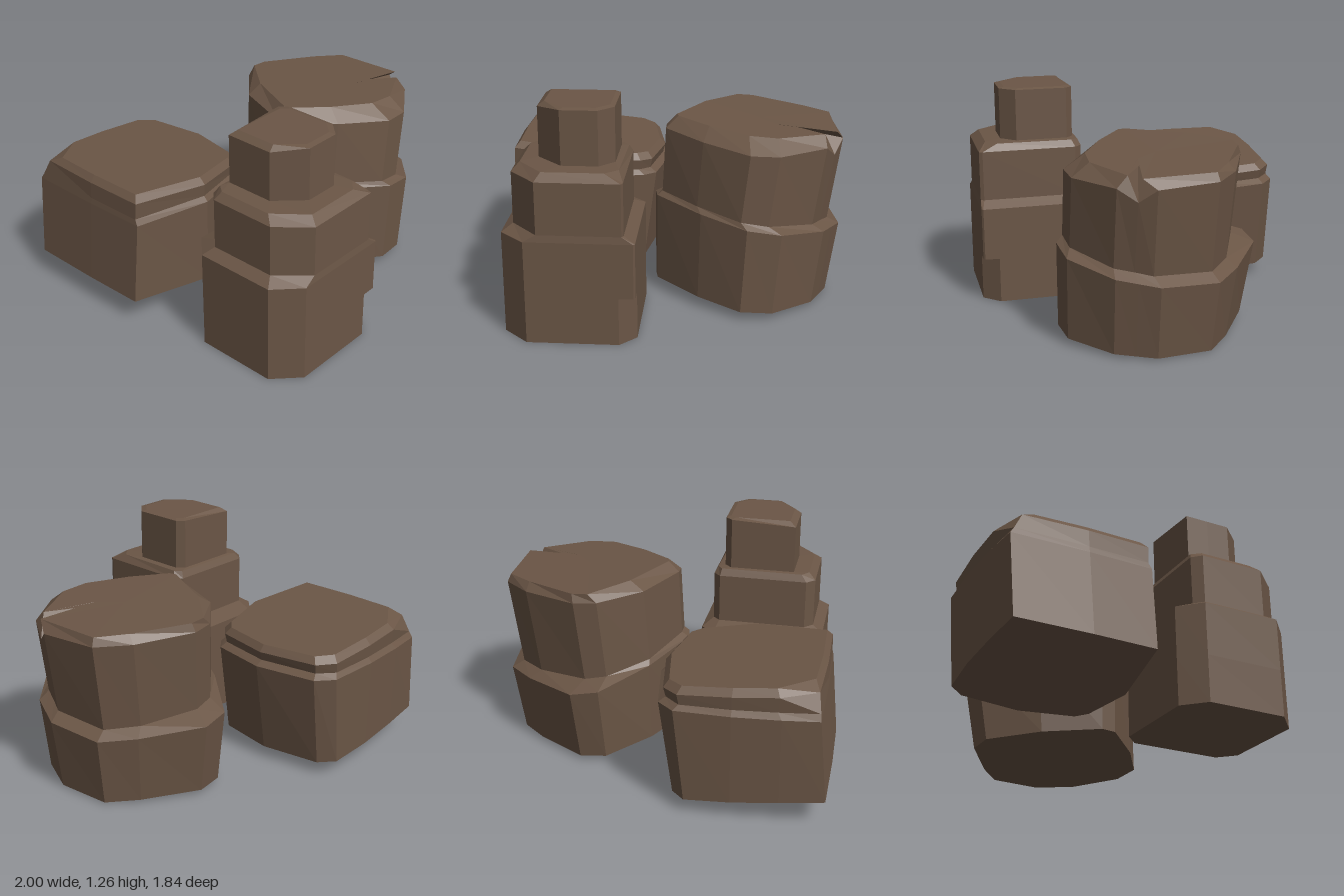
import * as THREE from 'three';

// Loft through rings of [x, z] corners (clockwise seen from above), closed top and bottom.
// Each ring is { p: corners, y: height or (x, z, index) => height }.
function loftRock(rings, material, name) {
  const pts = rings.map(({ p, y }) => p.map(([x, z], i) =>
    new THREE.Vector3(x, typeof y === 'function' ? y(x, z, i) : y, z)));
  const n = pts[0].length;
  const out = [];
  const tri = (...v) => v.forEach((q) => out.push(q.x, q.y, q.z));
  const centre = (ring) => ring.reduce((s, q) => s.add(q), new THREE.Vector3()).divideScalar(n);
  const low = pts[0], high = pts[pts.length - 1];
  const lowMid = centre(low), highMid = centre(high);
  for (let i = 0; i < n; i++) {
    const j = (i + 1) % n;
    for (let r = 0; r < pts.length - 1; r++) {
      const a = pts[r], b = pts[r + 1];
      tri(a[i], b[i], b[j]);
      tri(a[i], b[j], a[j]);
    }
    tri(lowMid, low[i], low[j]);
    tri(highMid, high[j], high[i]);
  }
  const geo = new THREE.BufferGeometry();
  geo.setAttribute('position', new THREE.Float32BufferAttribute(out, 3));
  geo.computeVertexNormals();
  const mesh = new THREE.Mesh(geo, material);
  mesh.name = name;
  return mesh;
}

// Shrink a ring about a point
const inset = (p, cx, cz, sx, sz = sx) => p.map(([x, z]) => [cx + (x - cx) * sx, cz + (z - cz) * sz]);

// Three-tier stepped rock at the front
function steppedRock(mat) {
  const base = [[-0.72, 0.19], [-0.19, 0.19], [-0.11, 0.27], [-0.11, 0.905],
    [-0.12, 0.915], [-0.70, 0.915], [-0.84, 0.78], [-0.84, 0.31]];
  // chipped lower corner
  const chipped = base.map((q, i) => (i === 3 ? [-0.11, 0.82] : i === 4 ? [-0.20, 0.915] : q));
  const middle = [[-0.73, 0.30], [-0.21, 0.30], [-0.17, 0.34], [-0.17, 0.89],
    [-0.18, 0.91], [-0.63, 0.91], [-0.78, 0.74], [-0.78, 0.35]];
  const shoulder = [[-0.70, 0.32], [-0.22, 0.32], [-0.19, 0.36], [-0.20, 0.80],
    [-0.27, 0.86], [-0.60, 0.86], [-0.74, 0.69], [-0.74, 0.37]];
  const top = [[-0.65, 0.34], [-0.27, 0.34], [-0.23, 0.38], [-0.23, 0.68],
    [-0.31, 0.765], [-0.51, 0.765], [-0.65, 0.62], [-0.65, 0.48]];
  return loftRock([
    { p: chipped, y: 0 },
    { p: chipped, y: 0.27 },
    { p: base, y: 0.272 },
    { p: base, y: 0.58 },
    { p: middle, y: 0.62 },
    { p: middle, y: 0.91 },
    { p: shoulder, y: 0.95 },
    { p: top, y: 0.955 },
    { p: top, y: (x) => (x < -0.6 ? 1.235 : 1.255) },
    { p: inset(top, -0.40, 0.55, 0.85), y: 1.262 },
  ], mat, 'steppedRock');
}

// Two-tier round rock with a crack in its top
function crackedRock(mat) {
  const lower = [[-0.065, 0.09], [0.10, -0.25], [0.33, -0.535], [0.49, -0.55], [0.80, -0.34],
    [0.96, -0.19], [1.0, 0.14], [0.95, 0.25], [0.90, 0.36], [0.66, 0.565], [0.47, 0.585],
    [0.21, 0.42], [-0.05, 0.18]];
  const rim = [[0.0, 0.10], [0.13, -0.24], [0.35, -0.44], [0.48, -0.46], [0.80, -0.32],
    [0.96, -0.18], [1.0, 0.16], [0.95, 0.25], [0.90, 0.35], [0.64, 0.53], [0.48, 0.54],
    [0.22, 0.37], [0.0, 0.17]];
  const cap = [[0.06, 0.10], [0.21, -0.22], [0.40, -0.44], [0.49, -0.44], [0.79, -0.28],
    [0.94, -0.17], [0.96, 0.23], [0.63, 0.17], [0.89, 0.29], [0.63, 0.43], [0.47, 0.42],
    [0.25, 0.29], [0.07, 0.14]];
  const waist = rim.map(([x, z]) => [x - 0.02 - 0.05 * x, z * (z < 0 ? 0.93 : 1.01)]);
  const foot = lower.map(([x, z]) => [x - 0.06 * Math.max(x, 0), z < 0 ? z * 0.88 : z * 0.99]);
  const ledge = (x, z) => 0.60 - 0.15 * x + 0.07 * z;
  return loftRock([
    { p: foot, y: (x, z) => Math.max(0, 0.065 - 0.06 * x + 0.02 * z) },
    { p: lower, y: (x, z) => ledge(x, z) - 0.03 },
    { p: waist, y: ledge },
    { p: rim, y: (x, z, i) => (i === 7 ? 0.88 : 1.0 - 0.04 * x - 0.05 * Math.max(z, 0)) },
    { p: cap, y: (x, z) => 1.062 - 0.055 * x - 0.01 * Math.abs(z) },
  ], mat, 'crackedRock');
}

// Wide leaning rock at the back with a thin ledge
function leaningRock(mat) {
  const body = [[-0.95, -0.89], [-0.75, -0.91], [-0.49, -0.92], [-0.18, -0.905], [-0.085, -0.82],
    [-0.02, -0.46], [-0.08, -0.13], [-0.15, -0.07], [-0.49, 0.01], [-0.94, -0.08], [-0.95, -0.45]];
  const foot = body.map(([x, z]) => [
    x < -0.9 ? x - 0.045 : x > -0.5 ? x - 0.18 * (x + 0.5) : x, -0.46 + (z + 0.46) * 0.98]);
  const neck = body.map(([x, z]) => [x < -0.9 ? x + 0.005 : -0.5 + (x + 0.5) * 0.91, -0.46 + (z + 0.46) * 0.95]);
  const lip = body.map(([x, z]) => [x < -0.9 ? x + 0.01 : -0.5 + (x + 0.5) * 0.94, -0.46 + (z + 0.46) * 0.965]);
  lip[0] = [-0.93, -0.82];
  const cap = inset(lip, -0.5, -0.46, 0.93, 0.92);
  cap[0] = [-0.90, -0.74];
  return loftRock([
    { p: foot, y: (x) => 0.07 + 0.09 * Math.max(0, -x - 0.1) / 0.9 },
    { p: body, y: (x) => 0.62 - 0.02 * x },
    { p: neck, y: (x) => 0.645 - 0.03 * x },
    { p: lip, y: (x) => 0.695 - 0.08 * x },
    { p: cap, y: (x) => 0.73 - 0.085 * x },
  ], mat, 'leaningRock');
}

export function createModel() {
  const stone = new THREE.MeshStandardMaterial({ color: 0x6b5646 });
  stone.name = 'brownStone';
  stone.flatShading = true;
  const group = new THREE.Group();
  group.name = 'rockCluster';
  group.add(steppedRock(stone), crackedRock(stone), leaningRock(stone));
  return group;
}
